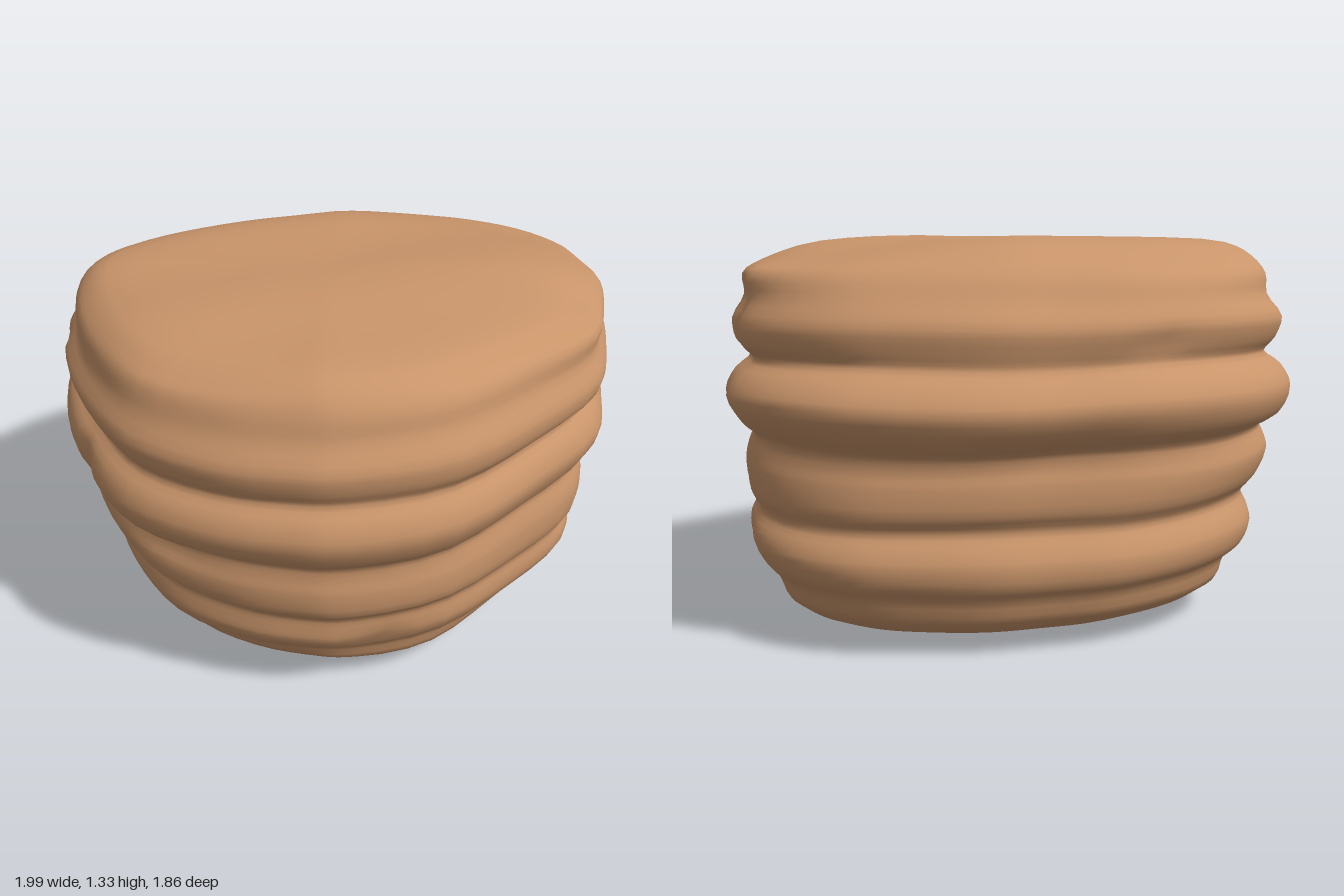
import * as THREE from 'three';

// plan outline of the widest fold: x, z
const OUTLINE = [
  [0.05, -0.925], [0.35, -0.925], [0.56, -0.89], [0.76, -0.78], [0.9, -0.61], [0.96, -0.42], [1, -0.25],
  [0.98, 0], [0.92, 0.27], [0.7, 0.54], [0.4, 0.81], [0.05, 0.92], [-0.1, 0.92], [-0.33, 0.88],
  [-0.6, 0.75], [-0.77, 0.55], [-0.9, 0.3], [-0.98, 0.02], [-0.99, -0.18], [-0.93, -0.36],
  [-0.74, -0.6], [-0.45, -0.79], [-0.2, -0.865],
];

// horizontal sections from bottom to top: y, min x, max x, min z, max z
const LEVELS = [
  [0.01, 0, 0, 0, 0],
  [0.005, -0.3, 0.4, -0.4, 0.3],
  [0.04, -0.55, 0.66, -0.62, 0.5],
  [0.12, -0.75, 0.82, -0.76, 0.65],
  [0.2, -0.78, 0.85, -0.79, 0.69],
  [0.25, -0.84, 0.89, -0.83, 0.75],
  [0.32, -0.87, 0.93, -0.84, 0.79],
  [0.37, -0.86, 0.93, -0.82, 0.79],
  [0.42, -0.84, 0.91, -0.79, 0.79],
  [0.48, -0.89, 0.94, -0.82, 0.84],
  [0.57, -0.93, 0.95, -0.82, 0.85],
  [0.62, -0.92, 0.94, -0.81, 0.84],
  [0.67, -0.9, 0.92, -0.82, 0.84],
  [0.72, -0.97, 0.96, -0.88, 0.89],
  [0.81, -1, 1, -0.93, 0.93],
  [0.88, -0.97, 0.97, -0.89, 0.91],
  [0.93, -0.91, 0.92, -0.83, 0.87],
  [0.98, -0.95, 0.97, -0.84, 0.89],
  [1.05, -0.97, 0.98, -0.85, 0.9],
  [1.13, -0.91, 0.94, -0.79, 0.85],
  [1.2, -0.91, 0.95, -0.75, 0.83],
  [1.26, -0.87, 0.89, -0.67, 0.79],
  [1.31, -0.78, 0.77, -0.52, 0.7],
  [1.335, -0.5, 0.5, -0.32, 0.43],
  [1.33, 0, 0, 0, 0],
];

// local pinches (negative = swelling): angle (0 = +x, 90 = +z), y, depth, angular width, height
const DENTS = [
  [-28, 1.05, 0.04, 4, 0.09],
  [179, 0.98, 0.05, 3, 0.07],
  [150, 0.8, 0.03, 4, 0.09],
  [79, 0.31, 0.03, 4, 0.05],
  [125, 0.62, 0.02, 8, 0.06],
  [-8, 0.6, 0.02, 7, 0.06],
  [-122, 1.0, 0.03, 4, 0.06],
  [5, 0.04, 0.05, 30, 0.1],
  [75, 0.04, -0.05, 25, 0.1],
  [45, 1.24, 0.025, 25, 0.1],
  [-135, 1.15, -0.025, 30, 0.07],
  [135, 1.13, -0.015, 30, 0.05],
  [-60, 1.13, -0.015, 25, 0.05],
];

const SIDES = 72;
const STEPS = 3;

function spline(points, closed) {
  return new THREE.CatmullRomCurve3(points.map((p) => new THREE.Vector3(...p)), closed);
}

function buildFoldedBody() {
  const outline = spline(OUTLINE.map(([x, z]) => [x, 0, z]), true);
  const xProfile = spline(LEVELS.map(([y, x0, x1]) => [y, x0, x1]), false);
  const zProfile = spline(LEVELS.map(([y, , , z0, z1]) => [y, z0, z1]), false);
  const rows = (LEVELS.length - 1) * STEPS;
  const position = [], index = [];

  for (let i = 0; i <= rows; i++) {
    const px = xProfile.getPoint(i / rows), pz = zProfile.getPoint(i / rows);
    for (let j = 0; j < SIDES; j++) {
      const o = outline.getPoint(j / SIDES);
      const angle = Math.atan2(o.z, o.x);
      const deg = THREE.MathUtils.radToDeg(angle);
      let x = (px.y + px.z) / 2 + o.x * (px.z - px.y) / 2;
      let z = (pz.y + pz.z) / 2 + (o.z / 0.93) * (pz.z - pz.y) / 2;
      let y = px.x;

      // pinched and swollen spots on the wall
      let pull = 1;
      for (const [a, h, depth, wa, wh] of DENTS) {
        const d = ((deg - a + 540) % 360) - 180;
        pull -= depth * Math.exp(-((d / wa) ** 2) - ((y - h) / wh) ** 2);
      }
      x *= pull;
      z *= pull;

      // wandering creases on the wall
      const wall = Math.sin(Math.PI * THREE.MathUtils.clamp(y / 1.3, 0, 1));
      y += wall * (0.008 * Math.cos(2 * angle) + 0.005 * Math.sin(5 * angle + y * 7) - 0.005);

      // shallow diagonal streaks and drooping corners on the top
      const top = THREE.MathUtils.smoothstep(y, 1.2, 1.3);
      y += top * (0.008 * Math.sin(9 * (z + 0.45 * x)) - 0.08 * Math.abs(x * z) - 0.008 * x - 0.007);
      position.push(x, y, z);
    }
  }
  for (let i = 0; i < rows; i++) {
    for (let j = 0; j < SIDES; j++) {
      const a = i * SIDES + j, b = i * SIDES + (j + 1) % SIDES;
      index.push(a, a + SIDES, b, b, a + SIDES, b + SIDES);
    }
  }
  const geometry = new THREE.BufferGeometry();
  geometry.setAttribute('position', new THREE.Float32BufferAttribute(position, 3));
  geometry.setIndex(index);
  geometry.computeVertexNormals();
  return geometry;
}

export function createModel() {
  const group = new THREE.Group();
  group.name = 'foldedStump';
  const clay = new THREE.MeshStandardMaterial({ color: 0xc8946a });
  clay.name = 'warm tan';
  const body = new THREE.Mesh(buildFoldedBody(), clay);
  body.name = 'foldedBody';
  group.add(body);
  return group;
}
